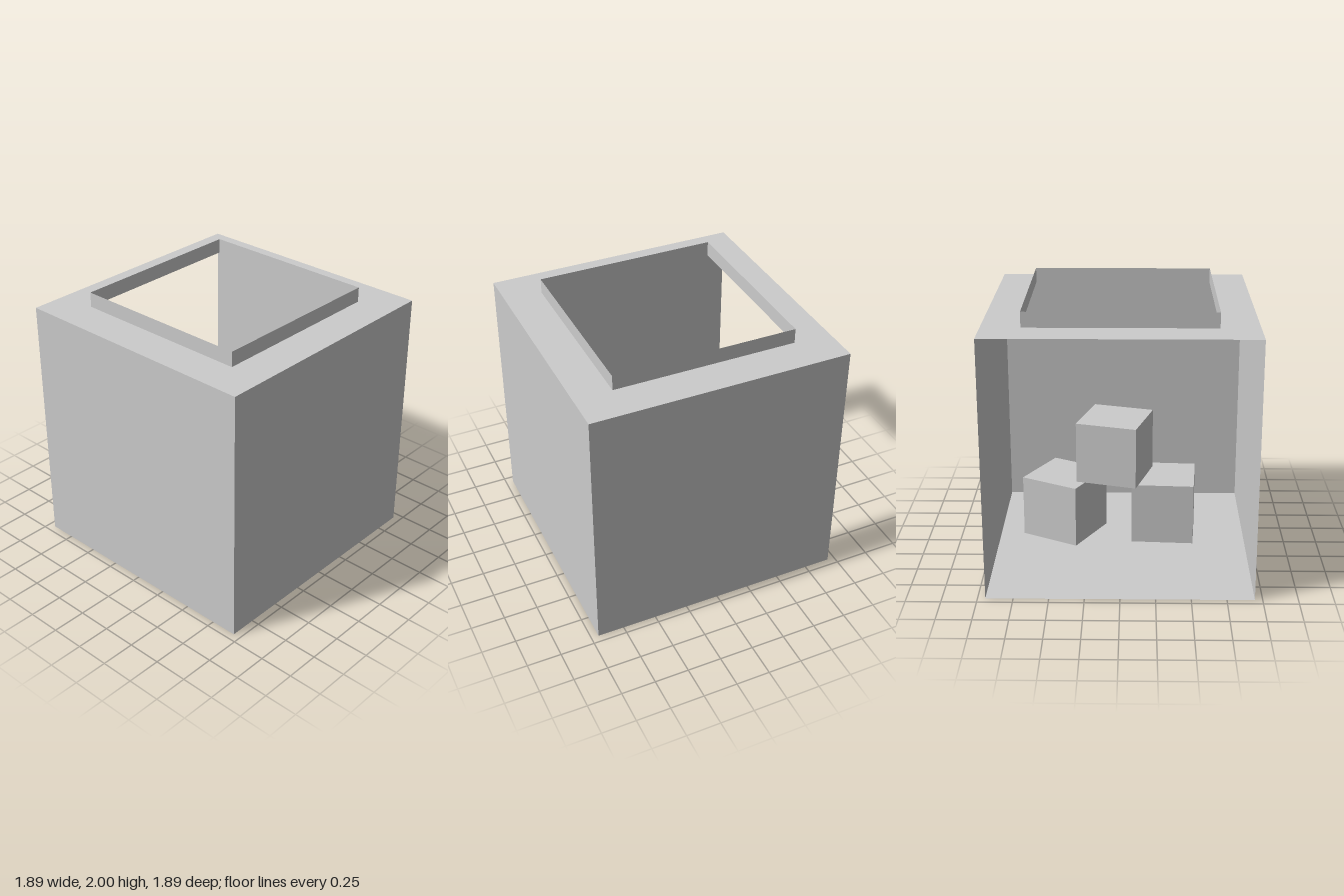
import * as THREE from 'three';

const H = 1.89;      // side of the cubic bin
const HALF = H / 2;
const HOLE = 0.67;   // half width of the top opening
const RIM = 2 - H;   // height of the collar
const CRATE = H / 4; // side of each crate

export function createModel() {
  const model = new THREE.Group();
  const sheet = new THREE.MeshStandardMaterial({ color: 0xcccccc, side: THREE.DoubleSide, flatShading: true });
  const solid = new THREE.MeshStandardMaterial({ color: 0xcccccc, flatShading: true });

  const add = (name, geometry, material, x, y, z, parent = model) => {
    const mesh = new THREE.Mesh(geometry, material);
    mesh.name = name;
    mesh.position.set(x, y, z);
    parent.add(mesh);
    return mesh;
  };

  // Thin sheet walls; the -x side is left open
  const wall = new THREE.PlaneGeometry(H, H);
  add('frontWall', wall, sheet, 0, HALF, HALF);
  add('backWall', wall, sheet, 0, HALF, -HALF).rotation.y = Math.PI;
  add('leftWall', wall, sheet, HALF, HALF, 0).rotation.y = Math.PI / 2;
  add('floor', wall, sheet, 0, 0, 0).rotation.x = Math.PI / 2;

  // Top sheet with a square opening
  const square = (Base, r) => new Base([[-r, -r], [r, -r], [r, r], [-r, r]].map(([x, y]) => new THREE.Vector2(x, y)));
  const lid = square(THREE.Shape, HALF);
  lid.holes.push(square(THREE.Path, HOLE));
  add('top', new THREE.ShapeGeometry(lid), sheet, 0, H, 0).rotation.x = -Math.PI / 2;

  // Thin upright collar around the opening
  const collar = new THREE.Group();
  collar.name = 'collar';
  model.add(collar);
  const strip = new THREE.PlaneGeometry(2 * HOLE, RIM);
  for (let i = 0; i < 4; i++) {
    const a = i * Math.PI / 2;
    add('collarSide', strip, sheet, HOLE * Math.sin(a), H + RIM / 2, HOLE * Math.cos(a), collar).rotation.y = a;
  }

  // Two crates on the floor and one stacked across them: x, level, z, turn in degrees
  const crate = new THREE.BoxGeometry(CRATE, CRATE, CRATE);
  [
    ['backCrate', 0.23, 0, -0.445, -28.4],
    ['frontCrate', 0.213, 0, 0.325, -3.5],
    ['upperCrate', 0.215, 1, -0.055, -16.1],
  ].forEach(([name, x, level, z, turn]) => {
    add(name, crate, solid, x, (level + 0.5) * CRATE, z).rotation.y = THREE.MathUtils.degToRad(turn);
  });

  return model;
}
